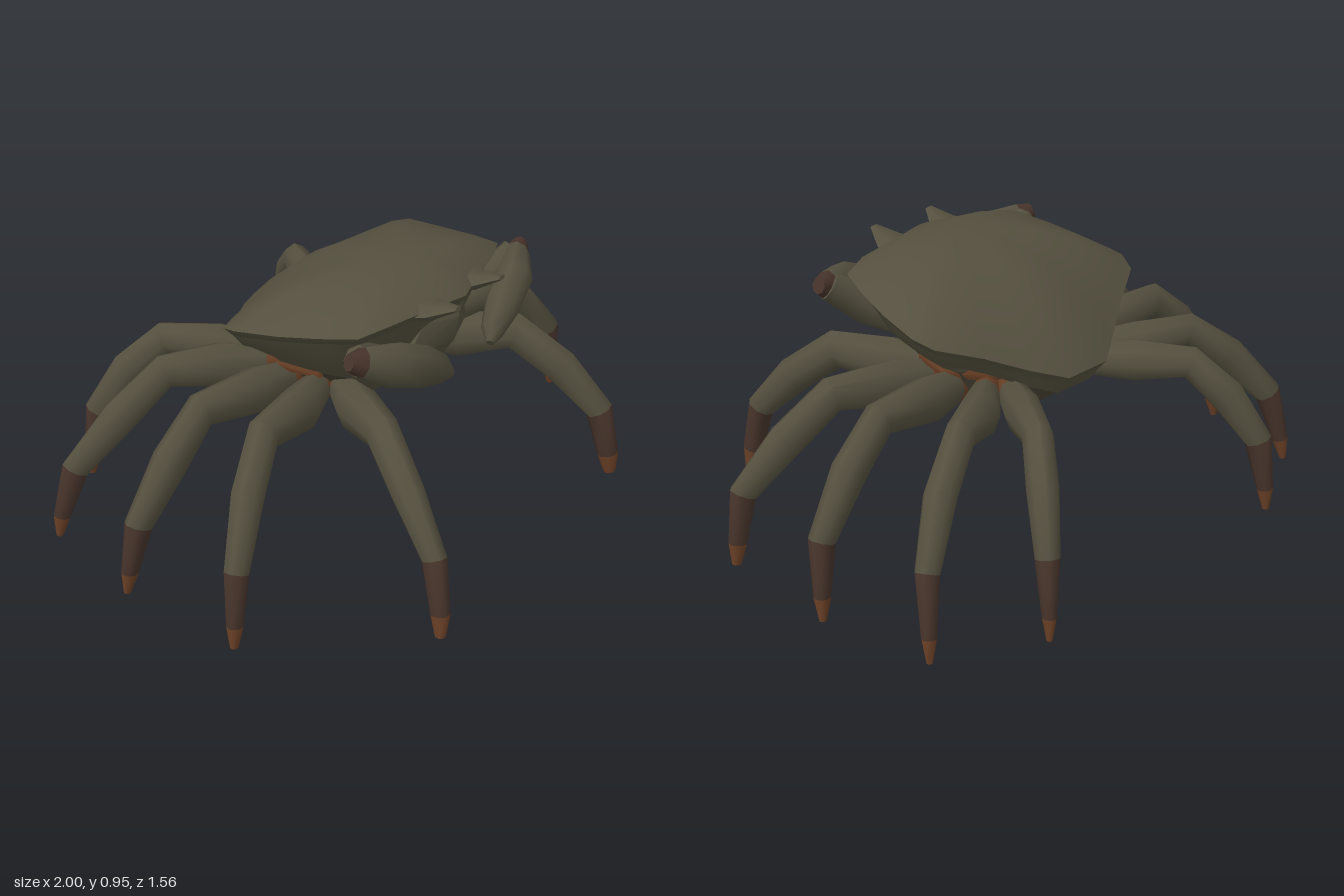
import * as THREE from 'three';
import { toCreasedNormals } from 'three/addons/utils/BufferGeometryUtils.js';

const material = (name, color) => {
  const m = new THREE.MeshStandardMaterial({ color });
  m.name = name;
  return m;
};

// Skin a list of closed rings (counter-clockwise about the path), capped at both ends.
// bands gives the material index of each strip between two rings.
function loft(rings, bands, crease = 0.95) {
  const n = rings[0].length, pos = [], idx = [];
  const geo = new THREE.BufferGeometry();
  rings.forEach(r => r.forEach(p => pos.push(p.x, p.y, p.z)));
  const cap = (ring, base, flip, mat) => {
    const c = new THREE.Vector3();
    ring.forEach(p => c.addScaledVector(p, 1 / n));
    const ci = pos.length / 3, start = idx.length;
    pos.push(c.x, c.y, c.z);
    for (let j = 0; j < n; j++) {
      const a = base + j, b = base + (j + 1) % n;
      idx.push(ci, flip ? b : a, flip ? a : b);
    }
    geo.addGroup(start, n * 3, mat);
  };
  const last = rings.length - 1;
  cap(rings[0], 0, true, bands[0]);
  for (let i = 0; i < last; i++) {
    const start = idx.length;
    for (let j = 0; j < n; j++) {
      const k = (j + 1) % n, a = i * n + j, b = i * n + k;
      idx.push(a, b, b + n, a, b + n, a + n);
    }
    geo.addGroup(start, n * 6, bands[i]);
  }
  cap(rings[last], last * n, false, bands[last - 1]);
  geo.setAttribute('position', new THREE.Float32BufferAttribute(pos, 3));
  geo.setIndex(idx);
  return toCreasedNormals(geo, crease);
}

// Jointed limb through points [x, y, z, radius]; sx = -1 mirrors it to the right side.
function limb(points, sx, bands, tall = 1.2, sides = 8) {
  const p = points.map(q => new THREE.Vector3(q[0] * sx, q[1], q[2]));
  const last = p.length - 1;
  const run = p[last].clone().sub(p[0]).setY(0).normalize();
  const across = new THREE.Vector3(0, 1, 0).cross(run).normalize();
  const rings = p.map((c, i) => {
    const t = p[Math.min(i + 1, last)].clone().sub(p[Math.max(i - 1, 0)]);
    const up = t.cross(across).normalize();
    const r = points[i][3];
    return Array.from({ length: sides }, (_, j) => {
      const a = (j / sides) * Math.PI * 2;
      return c.clone().addScaledVector(across, r * Math.cos(a))
        .addScaledVector(up, r * tall * Math.sin(a));
    });
  });
  return loft(rings, bands);
}

// Half outline of the shell rim, front to back: [x, z, rim height]
const HALF = [
  [0, 0.45, 0.88], [0.1, 0.42, 0.88], [0.3, 0.37, 0.88], [0.41, 0.32, 0.865],
  [0.45, 0.2, 0.845], [0.48, 0.06, 0.82], [0.5, -0.1, 0.795], [0.47, -0.17, 0.77],
  [0.33, -0.25, 0.72], [0.2, -0.33, 0.66], [0.09, -0.4, 0.62],
];
const RIM = [...HALF, ...HALF.slice(1).reverse().map(([x, z, y]) => [-x, z, y])];

// Rim scaled about a centre, with a height rule
const rimRing = (s, cz, height) => RIM.map(([x, z, y]) =>
  new THREE.Vector3(x * s, height(y), cz + (z - cz) * s));

// Leg paths on the left side, hip to toe, front pair to back pair
const LEGS = {
  firstLeg: [[0.18, 0.53, 0.06, 0.04], [0.3, 0.535, 0.24, 0.074], [0.4, 0.555, 0.41, 0.058],
    [0.475, 0.43, 0.56, 0.054], [0.53, 0.27, 0.7, 0.041], [0.55, 0.09, 0.74, 0.032], [0.56, 0.01, 0.75, 0.018]],
  secondLeg: [[0.2, 0.53, 0.04, 0.04], [0.42, 0.54, 0.1, 0.07], [0.65, 0.57, 0.13, 0.054],
    [0.8, 0.44, 0.185, 0.055], [0.94, 0.27, 0.25, 0.041], [0.97, 0.09, 0.26, 0.028], [0.98, 0.01, 0.262, 0.014]],
  thirdLeg: [[0.2, 0.53, -0.04, 0.04], [0.42, 0.545, -0.08, 0.07], [0.66, 0.575, -0.115, 0.052],
    [0.8, 0.45, -0.13, 0.055], [0.94, 0.27, -0.155, 0.041], [0.97, 0.09, -0.18, 0.026], [0.98, 0.01, -0.19, 0.011]],
  fourthLeg: [[0.18, 0.53, -0.12, 0.04], [0.38, 0.55, -0.28, 0.068], [0.55, 0.575, -0.37, 0.051],
    [0.7, 0.45, -0.44, 0.054], [0.84, 0.28, -0.53, 0.04], [0.88, 0.09, -0.575, 0.025], [0.89, 0.01, -0.587, 0.01]],
  fifthLeg: [[0.14, 0.53, -0.16, 0.04], [0.27, 0.55, -0.37, 0.064], [0.37, 0.565, -0.53, 0.05],
    [0.45, 0.45, -0.63, 0.052], [0.525, 0.28, -0.725, 0.04], [0.545, 0.09, -0.755, 0.024], [0.55, 0.01, -0.762, 0.01]],
};

export function createModel() {
  const crab = new THREE.Group();
  crab.name = 'crab';
  const olive = material('olive shell', 0x544f3e);
  const shade = material('dark underside', 0x443f32);
  const brown = material('brown shin', 0x47342b);
  const rust = material('rust toe', 0x6a4026);
  const mats = [olive, brown, rust, shade];
  const add = (name, geometry, mat = mats) => {
    const mesh = new THREE.Mesh(geometry, mat);
    mesh.name = name;
    crab.add(mesh);
  };

  // Shell sloping down to the back, highest near the front
  const dome = [1, 0.93, 0.82, 0.66, 0.45, 0.2].map(s =>
    rimRing(s, 0.2, y => y + (0.957 - y) * (1 - s ** 2.3)));
  add('shell', loft([rimRing(0.95, 0.1, y => y - 0.03), ...dome], [0, 0, 0, 0, 0, 0]));

  // Belly tapering down to the breastplate
  add('belly', loft([
    rimRing(0.44, -0.07, () => 0.45),
    rimRing(0.53, -0.05, y => Math.min(0.53, y - 0.09)),
    rimRing(0.64, 0.02, y => Math.min(0.61, y - 0.06)),
    rimRing(0.72, 0.09, y => Math.min(0.65, y - 0.045)),
    rimRing(0.88, 0.1, y => y - 0.08),
    rimRing(0.96, 0.1, y => y - 0.02),
  ], [3, 3, 0, 0, 0]));

  // Face plate between the claws
  const faceRing = (y, w, front, back) => [[0, front], [w, front - 0.06], [w * 1.1, back],
    [-w * 1.1, back], [-w, front - 0.06]].map(([x, z]) => new THREE.Vector3(x, y, z));
  add('face', loft([faceRing(0.64, 0.15, 0.37, 0.1), faceRing(0.7, 0.17, 0.41, 0.1),
    faceRing(0.8, 0.12, 0.43, 0.1), faceRing(0.87, 0.08, 0.41, 0.1)], [0, 0, 0], 0.4));

  for (const [sx, side] of [[1, 'left'], [-1, 'right']]) {
    // Walking legs with a rust hip joint, brown shin and rust toe
    for (const [name, path] of Object.entries(LEGS)) {
      const hip = path[0], thigh = path[1];
      const joint = hip.map((v, i) => v + (thigh[i] - v) * 0.4);
      add(`${side} ${name}`, limb([hip, joint, ...path.slice(1)], sx, [2, 0, 0, 0, 0, 1, 2]));
    }
    // Rust seam on the flank above the hips
    add(`${side} flankSeam`, limb([[0.3, 0.605, 0.09, 0.012], [0.315, 0.605, -0.05, 0.02],
      [0.215, 0.595, -0.16, 0.02], [0.12, 0.585, -0.21, 0.012]], sx, [2, 2, 2], 1.3, 6));
    // Upper arm and folded claw, with a brown elbow
    add(`${side} upperArm`, limb([[0.18, 0.64, 0.2, 0.05], [0.32, 0.73, 0.32, 0.065],
      [0.46, 0.825, 0.355, 0.042]], sx, [0, 0]));
    add(`${side} claw`, limb([[0.505, 0.84, 0.355, 0.024], [0.46, 0.825, 0.37, 0.042],
      [0.36, 0.785, 0.42, 0.064], [0.25, 0.735, 0.445, 0.062], [0.16, 0.69, 0.465, 0.042],
      [0.12, 0.66, 0.48, 0.014]], sx, [1, 0, 0, 0, 0]));
    // Broad brow horn
    add(`${side} browHorn`, limb([[0.13, 0.865, 0.34, 0.09], [0.125, 0.875, 0.42, 0.066],
      [0.13, 0.908, 0.505, 0.018]], sx, [0, 0], 0.4, 6));
  }
  return crab;
}
